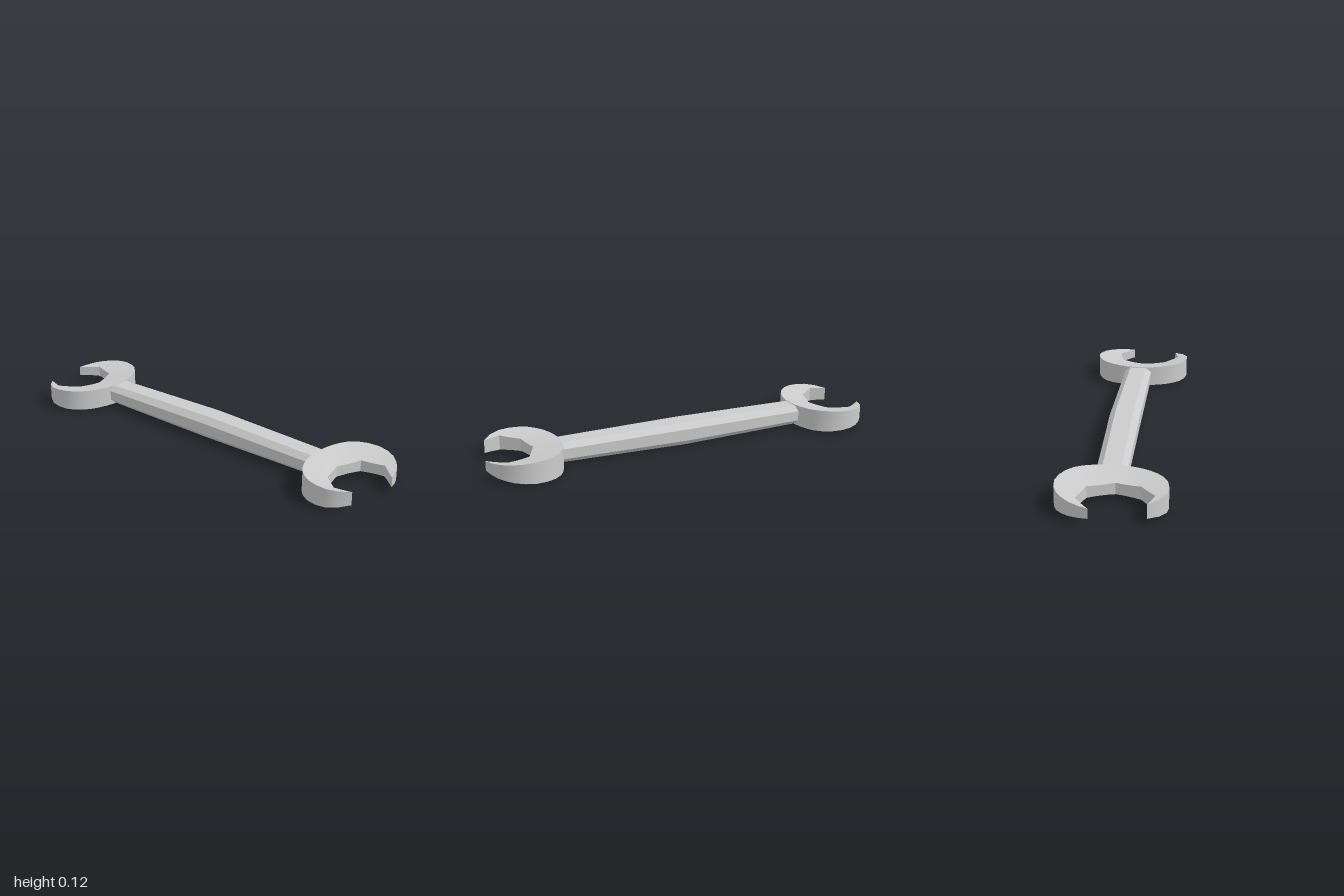
import * as THREE from 'three';
import { toCreasedNormals } from 'three/addons/utils/BufferGeometryUtils.js';

const MID_Y = 0.0605;
const material = new THREE.MeshStandardMaterial({ color: 0xcccccc });

// Collects quads (corners counter-clockwise from outside) into a mesh.
function meshFromQuads(quads, crease, name) {
  const pos = [];
  for (const [a, b, c, d] of quads) for (const p of [a, b, c, a, c, d]) pos.push(...p);
  let geo = new THREE.BufferGeometry();
  geo.setAttribute('position', new THREE.Float32BufferAttribute(pos, 3));
  geo = toCreasedNormals(geo, crease);
  const mesh = new THREE.Mesh(geo, material);
  mesh.name = name;
  return mesh;
}

// Head outline (x, z) from the rear jaw tip around the back to the front jaw tip
const OUTER = [
  [1.0, -0.105], [0.978, -0.175], [0.94, -0.228], [0.885, -0.268], [0.81, -0.283],
  [0.735, -0.263], [0.68, -0.22], [0.65, -0.165], [0.632, -0.1], [0.626, -0.035],
  [0.635, 0.035], [0.658, 0.1], [0.69, 0.15], [0.74, 0.193], [0.81, 0.213],
  [0.885, 0.2], [0.95, 0.135],
];
// Faceted jaw opening, same direction
const INNER = [
  [1.0, -0.105], [0.915, -0.175], [0.805, -0.145],
  [0.755, -0.025], [0.785, 0.09], [0.87, 0.16], [0.95, 0.135],
];

// Open-ended jaw: dished faces that thin towards the opening
function makeHead(side, shiftZ, name) {
  const curve = new THREE.CatmullRomCurve3(OUTER.map(([x, z]) => new THREE.Vector3(x, 0, z)));
  const steps = 24, per = steps / (INNER.length - 1);
  const point = (x, z, up) => {
    const half = 0.0265 + (Math.hypot(x - 0.9, z + 0.03) - 0.14) * 0.19;
    return [side * x, MID_Y + up * half, z + shiftZ];
  };
  const outer = (k, up) => {
    const p = curve.getPoint(k / steps);
    return point(p.x, p.z, up);
  };
  const inner = (k, up) => {
    const i = Math.min(Math.floor(k / per), INNER.length - 2), t = k / per - i;
    const [a, b] = [INNER[i], INNER[i + 1]];
    return point(a[0] + (b[0] - a[0]) * t, a[1] + (b[1] - a[1]) * t, up);
  };
  const quads = [];
  for (let k = 0; k < steps; k++) {
    const n = k + 1;
    quads.push(
      [outer(k, 1), outer(n, 1), inner(n, 1), inner(k, 1)],      // upper face
      [inner(k, -1), inner(n, -1), outer(n, -1), outer(k, -1)],  // lower face
      [outer(k, -1), outer(n, -1), outer(n, 1), outer(k, 1)],    // outer wall
      [inner(n, -1), inner(k, -1), inner(k, 1), inner(n, 1)],    // jaw wall
    );
  }
  if (side < 0) quads.forEach((q) => q.reverse());
  return meshFromQuads(quads, 0.5, name);
}

// Octagonal shaft, deepest in the middle, its ends sinking into the heads
function makeHandle() {
  // x, centre z, half width, half height
  const sections = [
    [-0.675, 0.009, 0.06, 0.036], [-0.635, 0.007, 0.07, 0.049], [0, -0.024, 0.075, 0.0585],
    [0.635, -0.04, 0.07, 0.049], [0.675, -0.041, 0.06, 0.036],
  ];
  const profile = [
    [1, -0.5], [1, 0.5], [0.6, 1], [-0.6, 1], [-1, 0.5], [-1, -0.5], [-0.6, -1], [0.6, -1],
  ];
  const at = (s, j) => {
    const [x, cz, w, h] = sections[s], [pz, py] = profile[j % 8];
    return [x, MID_Y + py * h, cz + pz * w];
  };
  const quads = [];
  for (let s = 0; s < sections.length - 1; s++) {
    for (let j = 0; j < 8; j++) quads.push([at(s, j), at(s + 1, j), at(s + 1, j + 1), at(s, j + 1)]);
  }
  return meshFromQuads(quads, 0.2, 'handle');
}

export function createModel() {
  const group = new THREE.Group();
  group.name = 'openEndWrench';
  group.add(makeHandle(), makeHead(1, 0, 'leftHead'), makeHead(-1, 0.067, 'rightHead'));
  return group;
}
